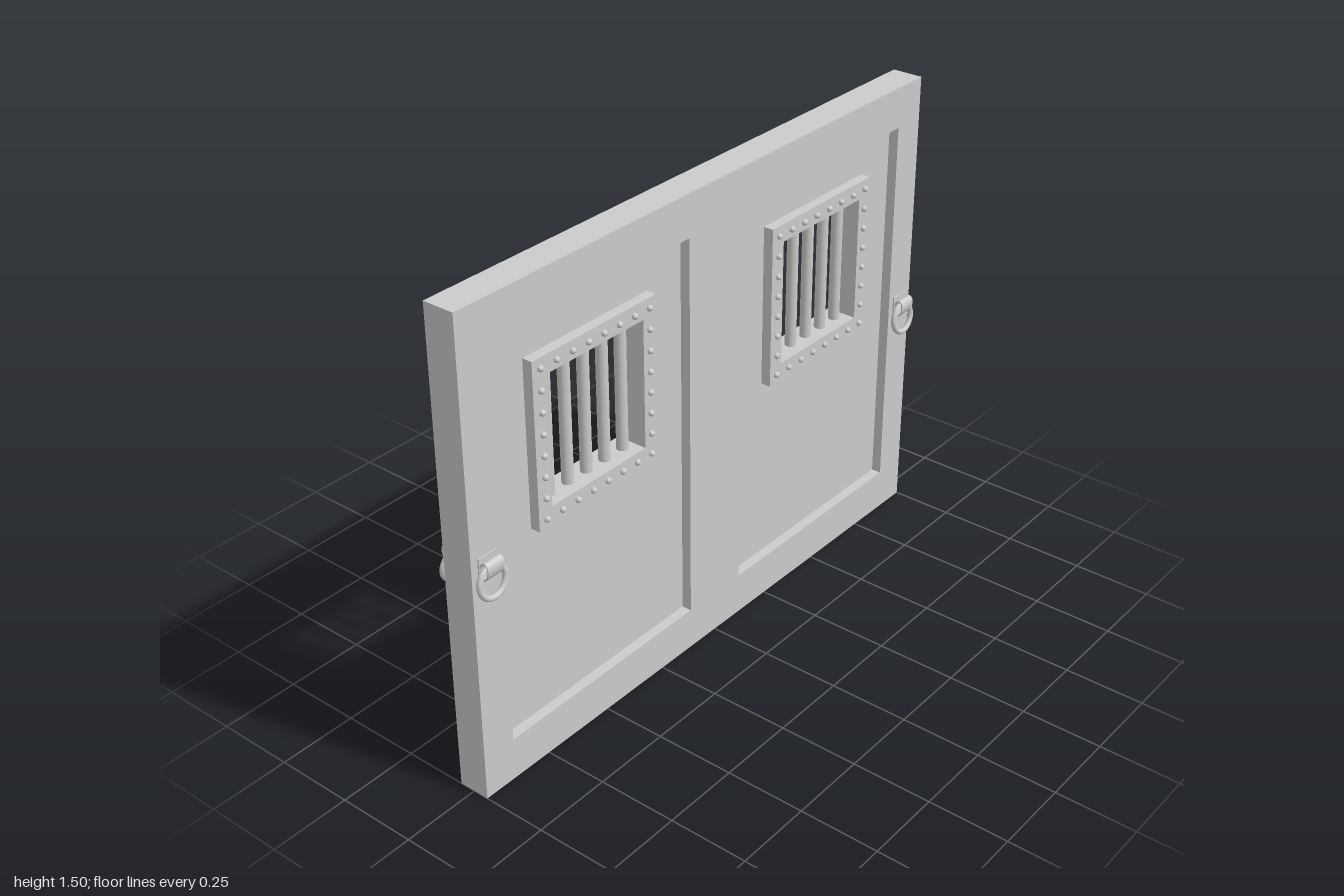
import * as THREE from 'three';

const grey = new THREE.MeshStandardMaterial({ color: 0xcccccc });
const DEPTH = 0.05; // half thickness of the door

function add(parent, name, geometry, x = 0, y = 0, z = 0) {
  const mesh = new THREE.Mesh(geometry, grey);
  mesh.name = name;
  mesh.position.set(x, y, z);
  parent.add(mesh);
  return mesh;
}

// Rectangle path centred on (x, y)
function rect(Type, x, y, w, h) {
  const p = new Type();
  p.moveTo(x - w / 2, y - h / 2);
  p.lineTo(x + w / 2, y - h / 2);
  p.lineTo(x + w / 2, y + h / 2);
  p.lineTo(x - w / 2, y + h / 2);
  p.closePath();
  return p;
}

// Flat plate with rectangular holes, centred on z = 0
function plate(outer, holes, half) {
  const shape = rect(THREE.Shape, ...outer);
  shape.holes = holes.map((h) => rect(THREE.Path, ...h));
  const g = new THREE.ExtrudeGeometry(shape, { depth: half * 2, bevelEnabled: false });
  return g.translate(0, 0, -half);
}

// Barred window with riveted frame, centred on its own origin
function makeWindow() {
  const group = new THREE.Group();
  group.name = 'barredWindow';
  add(group, 'windowFrame', plate([0, 0, 0.484, 0.514], [[0, 0, 0.38, 0.4]], DEPTH));

  const bar = new THREE.CylinderGeometry(0.0175, 0.0175, 0.41, 20);
  for (let i = -2; i <= 2; i++) add(group, 'windowBar', bar, i * 0.075, 0, 0);

  const rivet = new THREE.SphereGeometry(0.0095, 12, 8);
  const rx = 0.214, ry = 0.2275, n = 7;
  for (const z of [-DEPTH - 0.003, DEPTH + 0.003]) {
    for (const s of [-1, 1]) {
      for (let i = 0; i <= n; i++) {
        const t = (2 * i) / n - 1;
        add(group, 'rivet', rivet, t * rx, s * ry, z);
        if (i > 0 && i < n) add(group, 'rivet', rivet, s * rx, t * ry, z);
      }
    }
  }
  return group;
}

// Ring pull: back plate, strap loop and hanging ring, facing +z
function makeHandle() {
  const group = new THREE.Group();
  group.name = 'ringHandle';
  add(group, 'handlePlate', new THREE.BoxGeometry(0.066, 0.066, 0.006), 0, 0.749, DEPTH + 0.001);

  const strapShape = new THREE.Shape();
  strapShape.absellipse(0, 0, 0.017, 0.029, 0, Math.PI * 2);
  const inner = new THREE.Path();
  inner.absellipse(0, 0, 0.013, 0.025, 0, Math.PI * 2);
  strapShape.holes.push(inner);
  const strap = new THREE.ExtrudeGeometry(strapShape, { depth: 0.06, bevelEnabled: false, curveSegments: 24 });
  strap.translate(0, 0, -0.03).rotateZ(-0.2).rotateY(-Math.PI / 2);
  add(group, 'handleStrap', strap, 0, 0.746, DEPTH + 0.017);

  const ring = add(group, 'handleRing', new THREE.TorusGeometry(0.047, 0.009, 12, 40), 0, 0.704, DEPTH + 0.017);
  ring.rotation.x = -0.1;
  return group;
}

export function createModel() {
  const model = new THREE.Group();
  model.name = 'doubleDoor';

  // Solid surround with two panel openings
  const panels = [-0.502, 0.502].map((x) => [x, 0.752, 0.772, 1.234]);
  add(model, 'doorSurround', plate([0, 0.75, 2, 1.5], panels, DEPTH));

  for (const side of [-1, 1]) {
    // Recessed panel and its window
    const x = side * 0.502;
    add(model, 'recessedPanel', plate([x, 0.752, 0.772, 1.234], [[x, 1, 0.44, 0.46]], 0.018));
    const win = makeWindow();
    win.position.set(side * 0.502, 1, 0);
    model.add(win);

    // Ring handles on both faces
    for (const turn of [0, Math.PI]) {
      const handle = makeHandle();
      handle.position.x = side * 0.943;
      handle.rotation.y = turn;
      model.add(handle);
    }
  }
  return model;
}
